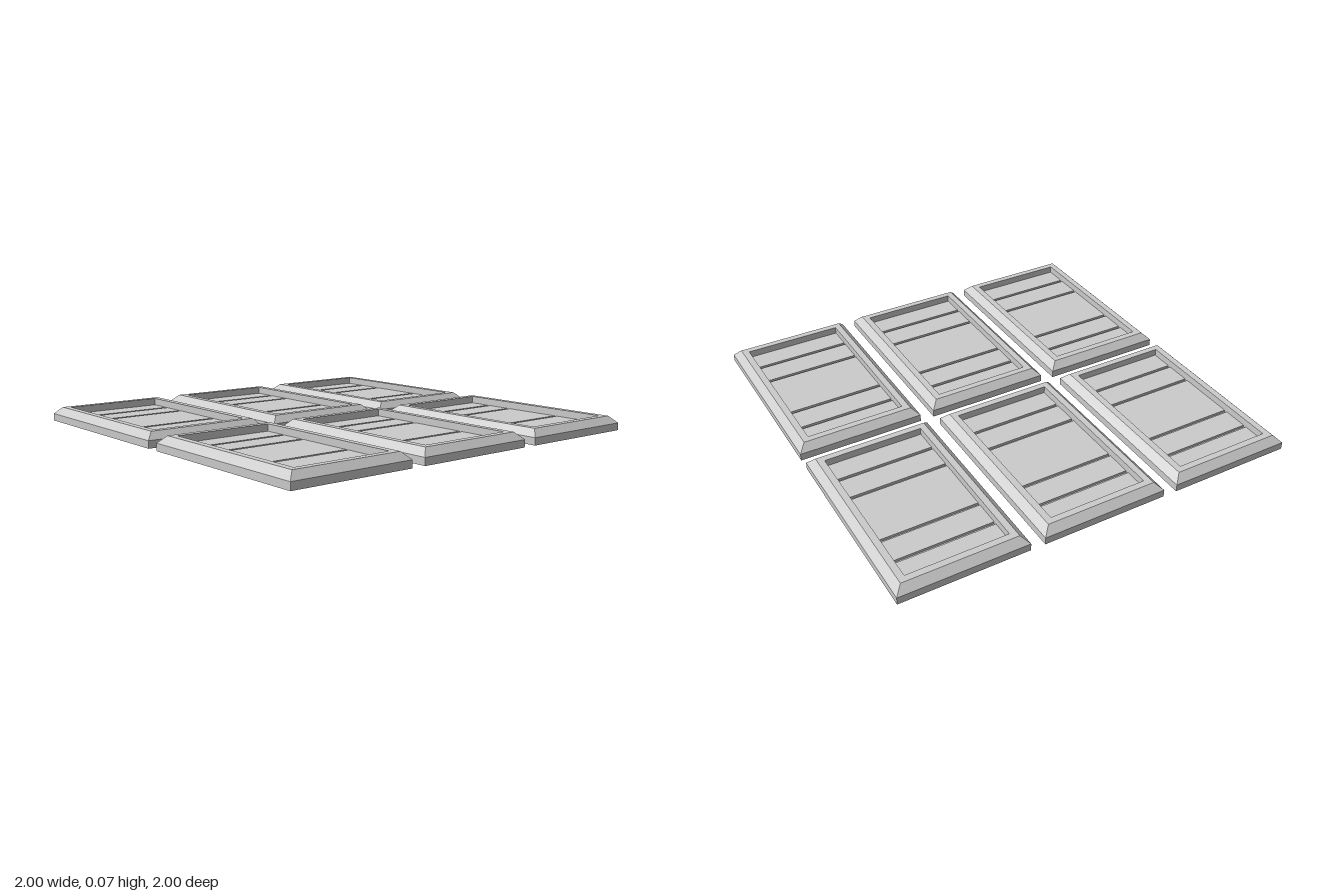
import * as THREE from 'three';

const material = new THREE.MeshStandardMaterial({ color: 0xcccccc, flatShading: true, side: THREE.DoubleSide });

// Builds a mesh from a list of four-cornered faces, corners counter-clockwise
function quadMesh(name, quads) {
  const positions = [];
  for (const [a, b, c, d] of quads) positions.push(...a, ...b, ...c, ...a, ...c, ...d);
  const geometry = new THREE.BufferGeometry();
  geometry.setAttribute('position', new THREE.Float32BufferAttribute(positions, 3));
  geometry.computeVertexNormals();
  const mesh = new THREE.Mesh(geometry, material);
  mesh.name = name;
  return mesh;
}

const HALF_X = 0.31, HALF_Z = 0.4825;
const INSET = 0.067, FLOOR = 0.035, GROOVE = 0.012;

// Hollow mitred border: outer wall, bevel, flat rim and inner wall
function makeFrame() {
  const profile = [[0, 0], [0, 0.036], [0.035, 0.07], [INSET, 0.07], [INSET, FLOOR]];
  const rings = profile.map(([inset, y]) => {
    const x = HALF_X - inset, z = HALF_Z - inset;
    return [[-x, y, z], [x, y, z], [x, y, -z], [-x, y, -z]];
  });
  const quads = [];
  for (let i = 0; i < rings.length - 1; i++) {
    for (let k = 0; k < 4; k++) {
      const n = (k + 1) % 4;
      quads.push([rings[i][k], rings[i][n], rings[i + 1][n], rings[i + 1][k]]);
    }
  }
  return quadMesh('frame', quads);
}

// Recessed sheet crossed by four narrow grooves
function makeSheet() {
  const x = HALF_X - INSET, z = HALF_Z - INSET, low = FLOOR - GROOVE, w = 0.008;
  const path = [[-z, FLOOR]];
  const quads = [];
  for (const c of [-0.295, -0.155, 0.155, 0.295]) {
    path.push([c - w, FLOOR], [c - w, low], [c + w, low], [c + w, FLOOR]);
    // groove ends
    for (const s of [-1, 1]) {
      quads.push([[s * x, low, c - s * w], [s * x, low, c + s * w],
        [s * x, FLOOR, c + s * w], [s * x, FLOOR, c - s * w]]);
    }
  }
  path.push([z, FLOOR]);
  for (let i = 0; i < path.length - 1; i++) {
    const [z0, y0] = path[i], [z1, y1] = path[i + 1];
    quads.push([[-x, y0, z0], [-x, y1, z1], [x, y1, z1], [x, y0, z0]]);
  }
  return quadMesh('groovedSheet', quads);
}

export function createModel() {
  const model = new THREE.Group();
  model.name = 'panelSet';
  const frame = makeFrame(), sheet = makeSheet();
  // Two rows of three identical panels
  for (const z of [-0.5175, 0.5175]) {
    for (const x of [-0.69, 0, 0.69]) {
      const panel = new THREE.Group();
      panel.name = 'panel';
      panel.add(frame.clone(), sheet.clone());
      panel.position.set(x, 0, z);
      model.add(panel);
    }
  }
  return model;
}
